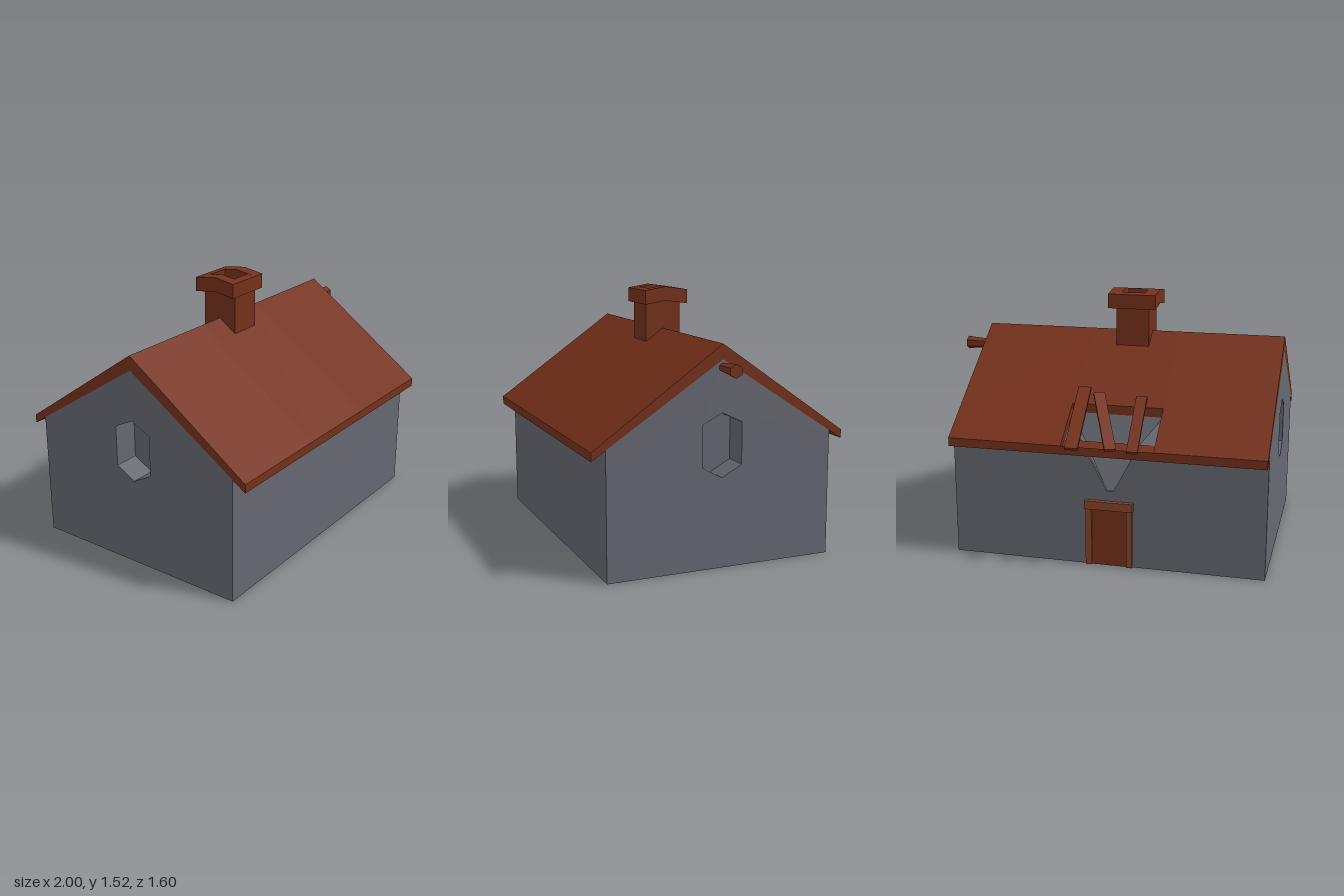
import * as THREE from 'three';

const paint = (color) => new THREE.MeshStandardMaterial({ color, flatShading: true, side: THREE.DoubleSide });

export function createModel() {
  const model = new THREE.Group();
  const stone = paint(0x666870);
  const tile = paint(0x74301a);
  const wood = paint(0x86452a);

  const add = (name, geometry, material) => {
    const mesh = new THREE.Mesh(geometry, material);
    mesh.name = name;
    model.add(mesh);
    return mesh;
  };
  const block = (name, material, [x0, x1], [y0, y1], [z0, z1]) => {
    const g = new THREE.BoxGeometry(x1 - x0, y1 - y0, z1 - z0);
    g.translate((x0 + x1) / 2, (y0 + y1) / 2, (z0 + z1) / 2);
    return add(name, g, material);
  };
  // Profile of [z, y] points, extruded along x
  const toPoints = (profile) => profile.map(([z, y]) => new THREE.Vector2(-z, y));
  const prism = (name, material, profile, x0, x1, hole) => {
    const shape = new THREE.Shape(toPoints(profile));
    if (hole) shape.holes.push(new THREE.Path(toPoints(hole)));
    const g = new THREE.ExtrudeGeometry(shape, { depth: x1 - x0, bevelEnabled: false });
    g.rotateY(Math.PI / 2).translate(x0, 0, 0);
    return add(name, g, material);
  };

  // Gable walls with recessed six-sided windows
  const gable = [[0.72, 0], [0.72, 0.735], [0.04, 1.18], [-0.64, 0.735], [-0.64, 0]];
  const hex = [[0.04, 0.885], [0.16, 0.825], [0.16, 0.585], [0.04, 0.52], [-0.08, 0.585], [-0.08, 0.825]];
  prism('rightGable', stone, gable, -1, -0.85, hex);
  prism('leftGable', stone, gable, 0.69, 0.84, hex);
  prism('rightWindowPane', stone, hex, -0.85, -0.84);
  prism('leftWindowPane', stone, hex, 0.68, 0.69);

  // Long walls and floor; the back wall has a broken notch at the top
  const span = [-0.85, 0.69];
  block('frontWall', stone, span, [0, 0.735], [0.69, 0.72]);
  block('floor', stone, span, [0, 0.02], [-0.62, 0.69]);
  const cx = -0.1025;
  const backShape = new THREE.Shape([
    [-0.85, 0], [0.69, 0], [0.69, 0.735], [cx + 0.165, 0.735], [cx + 0.02, 0.455],
    [cx - 0.02, 0.455], [cx - 0.165, 0.735], [-0.85, 0.735],
  ].map(([x, y]) => new THREE.Vector2(x, y)));
  const backWall = new THREE.ExtrudeGeometry(backShape, { depth: 0.02, bevelEnabled: false });
  add('backWall', backWall.translate(0, 0, -0.64), stone);

  // Sloping faces of the breach below the roof hole
  const breach = [];
  for (const s of [-1, 1]) {
    const rim = [cx + s * 0.2675, 0.86, -0.46];
    const eave = [cx + s * 0.2675, 0.74, -0.64];
    const top = [cx + s * 0.165, 0.735, -0.64];
    const base = [cx + s * 0.02, 0.455, -0.63];
    const faces = [[rim, eave, top], [rim, top, base],
      [rim, base, s > 0 ? [cx - 0.02, 0.455, -0.63] : [cx + 0.2675, 0.86, -0.46]]];
    for (const [a, b, c] of faces) breach.push(...(s > 0 ? [a, b, c] : [a, c, b]).flat());
  }
  const breachGeometry = new THREE.BufferGeometry();
  breachGeometry.setAttribute('position', new THREE.Float32BufferAttribute(breach, 3));
  breachGeometry.computeVertexNormals();
  add('breach', breachGeometry, stone);

  // Roof, open over the breach except for a thin eave
  const holeX = [-0.37, 0.165];
  const roof = [[0.8, 0.68], [0.8, 0.73], [0.04, 1.265], [-0.72, 0.73], [-0.72, 0.68], [0.04, 1.18]];
  prism('roofRight', tile, roof, -1, holeX[0]);
  prism('roofLeft', tile, roof, holeX[1], 0.84);
  prism('roofMiddle', tile,
    [...roof.slice(0, 3), [-0.46, 0.913], [-0.46, 0.851], roof[5]], holeX[0], holeX[1]);
  prism('brokenEave', tile,
    [[-0.72, 0.68], [-0.72, 0.73], [-0.695, 0.712], [-0.64, 0.745], [-0.64, 0.733]], holeX[0], holeX[1]);

  // Chimney with a peaked, open cap
  block('chimneyStack', tile, [-0.2, 0], [1.1, 1.435], [-0.07, 0.15]);
  const cap = [[0.17, 1.415], [0.17, 1.5], [0.04, 1.52], [-0.1, 1.5], [-0.1, 1.415], [0.04, 1.435]];
  prism('chimneyCapRight', tile, cap, -0.245, -0.17);
  prism('chimneyCapLeft', tile, cap, -0.03, 0.045);
  prism('chimneyCapFront', tile, [[0.17, 1.415], [0.17, 1.5], [0.12, 1.507], [0.12, 1.422]], -0.17, -0.03);
  prism('chimneyCapBack', tile, [[-0.1, 1.415], [-0.1, 1.5], [-0.05, 1.507], [-0.05, 1.422]], -0.17, -0.03);

  // Flared ridge beam sticking out of the left gable
  const beam = new THREE.CylinderGeometry(0.04, 0.024, 0.17, 6);
  beam.rotateZ(-Math.PI / 2);
  beam.rotateX(Math.PI / 2);
  beam.translate(0.915, 1.135, 0.04);
  add('ridgeBeam', beam, tile);

  // Loose planks across the hole
  const planks = [
    [[-0.26, 0.735, -0.77], [-0.24, 0.965, -0.435], 0.063],
    [[-0.14, 0.745, -0.78], [0.01, 0.975, -0.445], 0.065],
    [[0.08, 0.74, -0.795], [0.1, 1.0, -0.425], 0.075],
  ];
  for (const [from, to, width] of planks) {
    const a = new THREE.Vector3(...from);
    const b = new THREE.Vector3(...to);
    const plank = add('plank', new THREE.BoxGeometry(width, 0.018, a.distanceTo(b)), tile);
    plank.position.copy(a).add(b).multiplyScalar(0.5);
    plank.lookAt(b);
  }

  // Back door and its frame
  block('door', tile, [-0.2, 0.005], [0, 0.345], [-0.643, -0.63]);
  block('doorJambRight', wood, [-0.235, -0.2], [0, 0.345], [-0.655, -0.63]);
  block('doorJambLeft', wood, [0.005, 0.04], [0, 0.345], [-0.655, -0.63]);
  block('doorLintel', wood, [-0.24, 0.045], [0.345, 0.395], [-0.668, -0.63]);

  return model;
}
